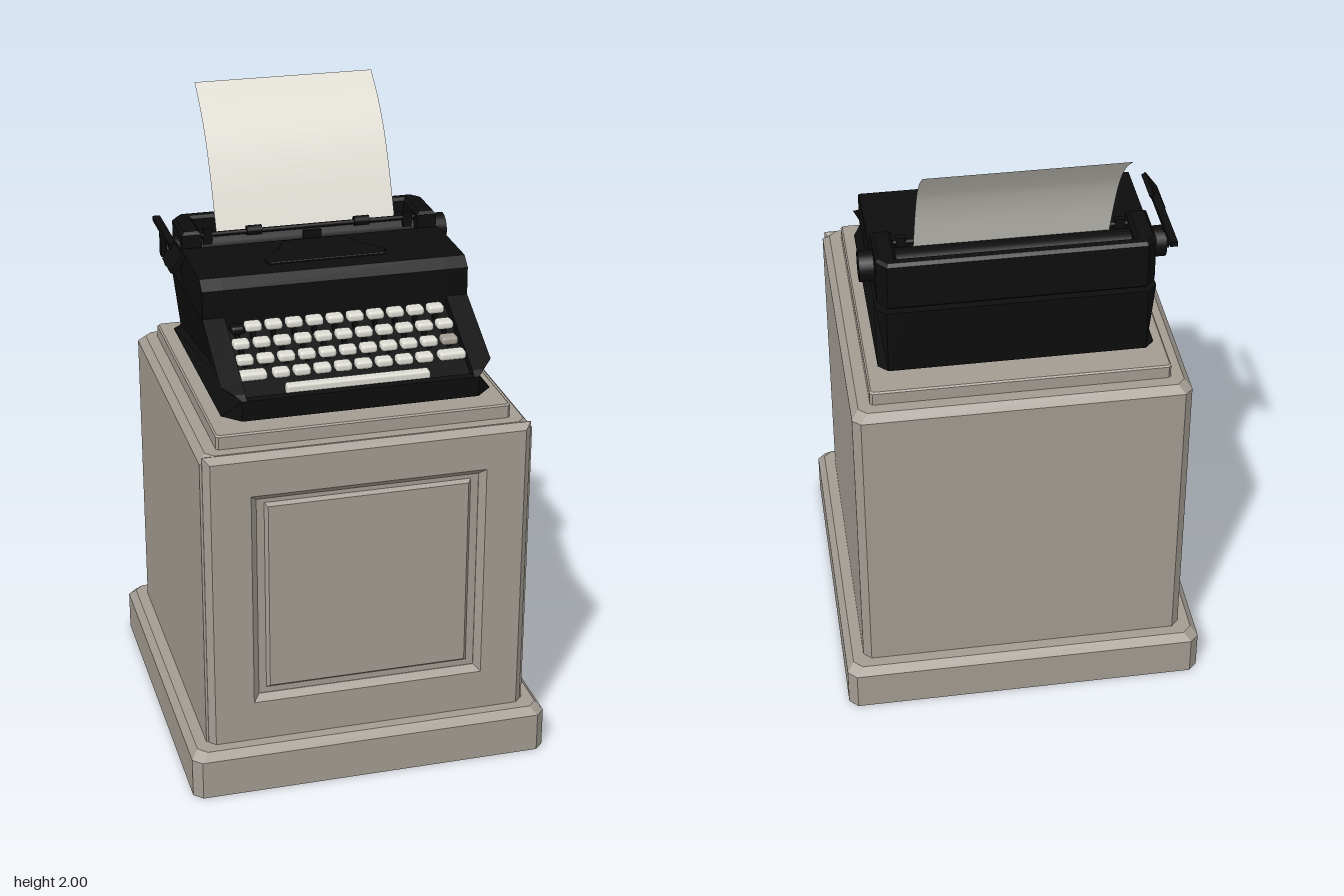
import * as THREE from 'three';
import { RoundedBoxGeometry } from 'three/addons/geometries/RoundedBoxGeometry.js';

const mat = (name, color, side = THREE.FrontSide) => {
  const m = new THREE.MeshStandardMaterial({ color, side });
  m.name = name;
  return m;
};

// Square block with chamfered corners, lofted through [height, inset] levels
function chamferBlock(half, c, levels, maxZ = 9) {
  const rings = levels.map(([y, inset]) => {
    const h = half - inset, k = h - c;
    return [[h, k], [h, -k], [k, -h], [-k, -h], [-h, -k], [-h, k], [-k, h], [k, h]]
      .map(([x, z]) => [x, y, Math.min(z, maxZ)]);
  });
  const pos = [], tri = (...p) => p.forEach((v) => pos.push(...v));
  for (let i = 0; i + 1 < rings.length; i++) {
    for (let j = 0; j < 8; j++) {
      const k = (j + 1) % 8, lo = rings[i], hi = rings[i + 1];
      tri(lo[j], lo[k], hi[k]);
      tri(lo[j], hi[k], hi[j]);
    }
  }
  const bottom = rings[0], top = rings[rings.length - 1];
  for (let j = 1; j < 7; j++) {
    tri(top[0], top[j], top[j + 1]);
    tri(bottom[0], bottom[j + 1], bottom[j]);
  }
  const g = new THREE.BufferGeometry();
  g.setAttribute('position', new THREE.Float32BufferAttribute(pos, 3));
  g.computeVertexNormals();
  return g;
}

const polygon = (pts) => new THREE.Shape(pts.map(([x, y]) => new THREE.Vector2(x, y)));
const rect = (x, y0, y1) => [[-x, y0], [x, y0], [x, y1], [-x, y1]];

// Side profile of [z, y] points, extruded from x0 to x1, with the plan corners cut off
function sideExtrude(pts, x0, x1) {
  const g = new THREE.ExtrudeGeometry(polygon(pts), { depth: x1 - x0, bevelEnabled: false });
  g.rotateY(-Math.PI / 2).translate(x1, 0, 0);
  const p = g.attributes.position;
  for (let i = 0; i < p.count; i++) {
    const z = p.getZ(i);
    const limit = 0.43 - Math.max(0, z - 0.37, -0.36 - z);
    p.setX(i, THREE.MathUtils.clamp(p.getX(i), -limit, limit));
  }
  g.computeVertexNormals();
  return g;
}

// Plan outline of [x, z] points, extruded upwards from y
function planExtrude(pts, y, depth, bevel = 0) {
  const g = new THREE.ExtrudeGeometry(polygon(pts.map(([x, z]) => [x, -z])), {
    depth: depth - 2 * bevel, bevelEnabled: bevel > 0, bevelSize: bevel,
    bevelThickness: bevel, bevelOffset: -bevel, bevelSegments: 1,
  });
  return g.rotateX(-Math.PI / 2).translate(0, y + bevel, 0);
}

export function createModel() {
  const stone = mat('stone', 0xa39c93);
  const black = mat('black enamel', 0x0d0d0d);
  const ivory = mat('ivory keys', 0xdcdbd2);
  const paperMat = mat('paper', 0xdfdcd3, THREE.DoubleSide);

  const model = new THREE.Group();
  const pedestal = new THREE.Group();
  pedestal.name = 'pedestal';
  const typewriter = new THREE.Group();
  typewriter.name = 'typewriter';
  model.add(pedestal, typewriter);
  const add = (parent, name, geometry, material, x = 0, y = 0, z = 0) => {
    const m = new THREE.Mesh(geometry, material);
    m.name = name;
    m.position.set(x, y, z);
    parent.add(m);
    return m;
  };
  const box = (w, h, d) => new THREE.BoxGeometry(w, h, d);
  const rod = (r, len, sides = 24) => new THREE.CylinderGeometry(r, r, len, sides).rotateZ(Math.PI / 2);

  // Pedestal: plinth, shaft and cap
  add(pedestal, 'plinth', chamferBlock(0.585, 0.028, [[0, 0], [0.13, 0], [0.155, 0.022]]), stone);
  add(pedestal, 'shaft', chamferBlock(0.527, 0.025, [[0.15, 0], [1.13, 0], [1.155, 0.022]], 0.505), stone);
  add(pedestal, 'cap', chamferBlock(0.467, 0.008, [[1.15, 0], [1.195, 0], [1.2, 0.005]]), stone);

  // Front frame around a recess, with a raised panel inside it
  const bevel = { depth: 0.002, bevelSize: 0.02, bevelThickness: 0.02, bevelSegments: 1 };
  const frame = polygon(rect(0.5, 0.155, 1.133));
  frame.holes.push(polygon(rect(0.375, 0.29, 1.015).reverse()));
  add(pedestal, 'frontFrame', new THREE.ExtrudeGeometry(frame, bevel), stone, 0, 0, 0.505);
  add(pedestal, 'frontPanel', new THREE.ExtrudeGeometry(polygon(rect(0.32, 0.34, 0.97)),
    { ...bevel, bevelSize: 0.01, bevelThickness: 0.012 }), stone, 0, 0, 0.503);

  // Typewriter body: two full-height cheeks and a lower middle that forms the key well
  const rear = [[0.125, 1.53], [0.09, 1.56], [-0.19, 1.56], [-0.19, 1.433], [-0.36, 1.433],
    [-0.39, 1.433], [-0.39, 1.22], [-0.36, 1.22], [0.37, 1.22], [0.425, 1.22]];
  const cheek = [[0.425, 1.285], [0.405, 1.3], [0.37, 1.317], [0.125, 1.44], ...rear];
  const well = [[0.425, 1.285], [0.405, 1.29], [0.405, 1.27], [0.125, 1.4], ...rear];
  add(typewriter, 'rightCheek', sideExtrude(cheek, -0.43, -0.36), black);
  add(typewriter, 'leftCheek', sideExtrude(cheek, 0.36, 0.43), black);
  add(typewriter, 'body', sideExtrude(well, -0.36, 0.36), black);
  add(typewriter, 'typeHatch', planExtrude([[-0.1, -0.17], [0.1, -0.17], [0.14, -0.09], [0.2, -0.02],
    [0.19, 0.02], [-0.19, 0.02], [-0.2, -0.02], [-0.14, -0.09]], 1.555, 0.012, 0.003), black);
  add(typewriter, 'typeGuide', box(0.06, 0.04, 0.012), black, 0, 1.57, -0.183);

  // Keys: [z, top height, first x, count]
  const keyRows = [[0.167, 1.435, -0.28, 10], [0.217, 1.4, -0.33, 11],
    [0.267, 1.367, -0.33, 11], [0.317, 1.337, -0.228, 8]];
  const keys = new THREE.Group();
  keys.name = 'keys';
  typewriter.add(keys);
  const addKey = (x, top, z, w = 0.054, m = ivory) => {
    add(keys, 'key', new RoundedBoxGeometry(w, 0.028, 0.046, 2, 0.011), m, x, top - 0.014, z);
    add(keys, 'keyStem', box(0.014, 0.04, 0.014), black, x, top - 0.035, z);
  };
  keyRows.forEach(([z, top, x0, count], row) => {
    for (let i = 0; i < count; i++) {
      const grey = row === 2 && i === count - 1;
      addKey(x0 + i * 0.0655, top, z, 0.054, grey ? stone : ivory);
    }
  });
  addKey(-0.33, 1.43, 0.167, 0.045, black);
  addKey(-0.317, 1.337, 0.317, 0.088);
  addKey(0.319, 1.337, 0.317, 0.088);
  add(typewriter, 'spaceBar', new RoundedBoxGeometry(0.455, 0.035, 0.036, 2, 0.008), ivory, -0.002, 1.295, 0.387);

  // Carriage: U-shaped housing, deck, platen, knobs and paper rail
  add(typewriter, 'carriageHousing', planExtrude([[-0.425, -0.2], [-0.425, -0.355], [-0.395, -0.392],
    [0.395, -0.392], [0.425, -0.355], [0.425, -0.2], [0.36, -0.2], [0.36, -0.352],
    [-0.36, -0.352], [-0.36, -0.2]], 1.445, 0.165, 0.01), black);
  add(typewriter, 'carriageDeck', box(0.72, 0.004, 0.16), stone, 0, 1.434, -0.275);
  add(typewriter, 'platen', rod(0.055, 0.72), black, 0, 1.53, -0.28);
  for (const s of [-1, 1]) {
    add(typewriter, 'platenKnob', rod(0.048, 0.055), black, s * 0.442, 1.53, -0.265);
    add(typewriter, 'paperRoller', rod(0.016, 0.05, 12), black, s * 0.18, 1.588, -0.235);
    add(typewriter, 'railEnd', box(0.03, 0.05, 0.02), black, s * 0.335, 1.58, -0.235);
  }
  add(typewriter, 'paperRail', rod(0.008, 0.72, 10), black, 0, 1.585, -0.235);

  // Carriage return lever on the model's right
  const lever = new THREE.Group();
  lever.name = 'returnLever';
  typewriter.add(lever);
  add(lever, 'leverArm', box(0.024, 0.016, 0.28), black, -0.47, 1.6, -0.255);
  add(lever, 'leverPost', box(0.02, 0.09, 0.03), black, -0.472, 1.56, -0.27);
  add(lever, 'leverPaddle', box(0.016, 0.068, 0.13), black, -0.477, 1.58, -0.065).rotation.z = -0.62;

  // Sheet of paper curling backwards out of the platen
  const curve = new THREE.CatmullRomCurve3([[-0.248, 1.56], [-0.27, 1.61], [-0.33, 1.74], [-0.395, 1.85],
    [-0.465, 1.93], [-0.55, 2]].map(([z, y]) => new THREE.Vector3(0, y, z)));
  const sheet = new THREE.PlaneGeometry(0.6, 1, 1, 24);
  const p = sheet.attributes.position;
  for (let i = 0; i < p.count; i++) {
    const c = curve.getPoint(p.getY(i) + 0.5);
    p.setXYZ(i, p.getX(i), c.y, c.z);
  }
  sheet.computeVertexNormals();
  add(typewriter, 'paperSheet', sheet, paperMat);

  return model;
}
